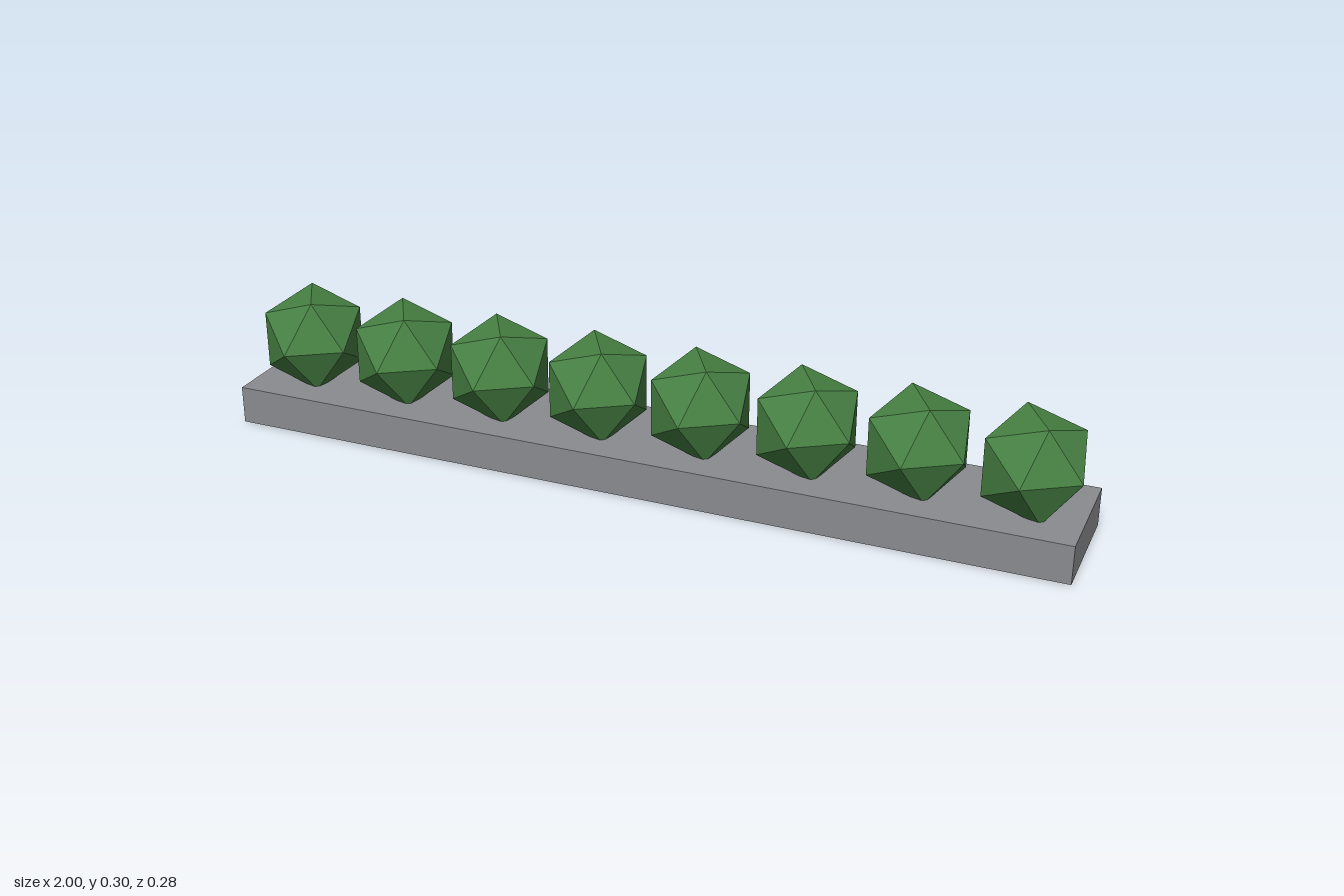
import * as THREE from 'three';

export function createModel() {
  const group = new THREE.Group();
  group.name = 'hedgePlanter';

  const stone = new THREE.MeshStandardMaterial({ color: 0x8a8c90 });
  stone.name = 'stoneGrey';
  const leaf = new THREE.MeshStandardMaterial({ color: 0x478143, flatShading: true });
  leaf.name = 'leafGreen';

  // Long low plinth
  const plinth = new THREE.Mesh(new THREE.BoxGeometry(2, 0.09, 0.28), stone);
  plinth.name = 'plinth';
  plinth.position.y = 0.045;
  group.add(plinth);

  // Faceted bush: one corner points forward, slightly deeper than wide
  const bushGeometry = new THREE.IcosahedronGeometry(1, 0);
  bushGeometry.rotateX(Math.atan(2 / (1 + Math.sqrt(5))));
  bushGeometry.rotateZ(Math.PI / 2);
  bushGeometry.scale(0.13, 0.129, 0.1355);

  // Row of eight bushes, sunk a little into the plinth
  for (let i = 0; i < 8; i++) {
    const bush = new THREE.Mesh(bushGeometry, leaf);
    bush.name = `bush${i + 1}`;
    bush.position.set(-0.875 + i * 0.25, 0.19, 0);
    group.add(bush);
  }
  return group;
}
